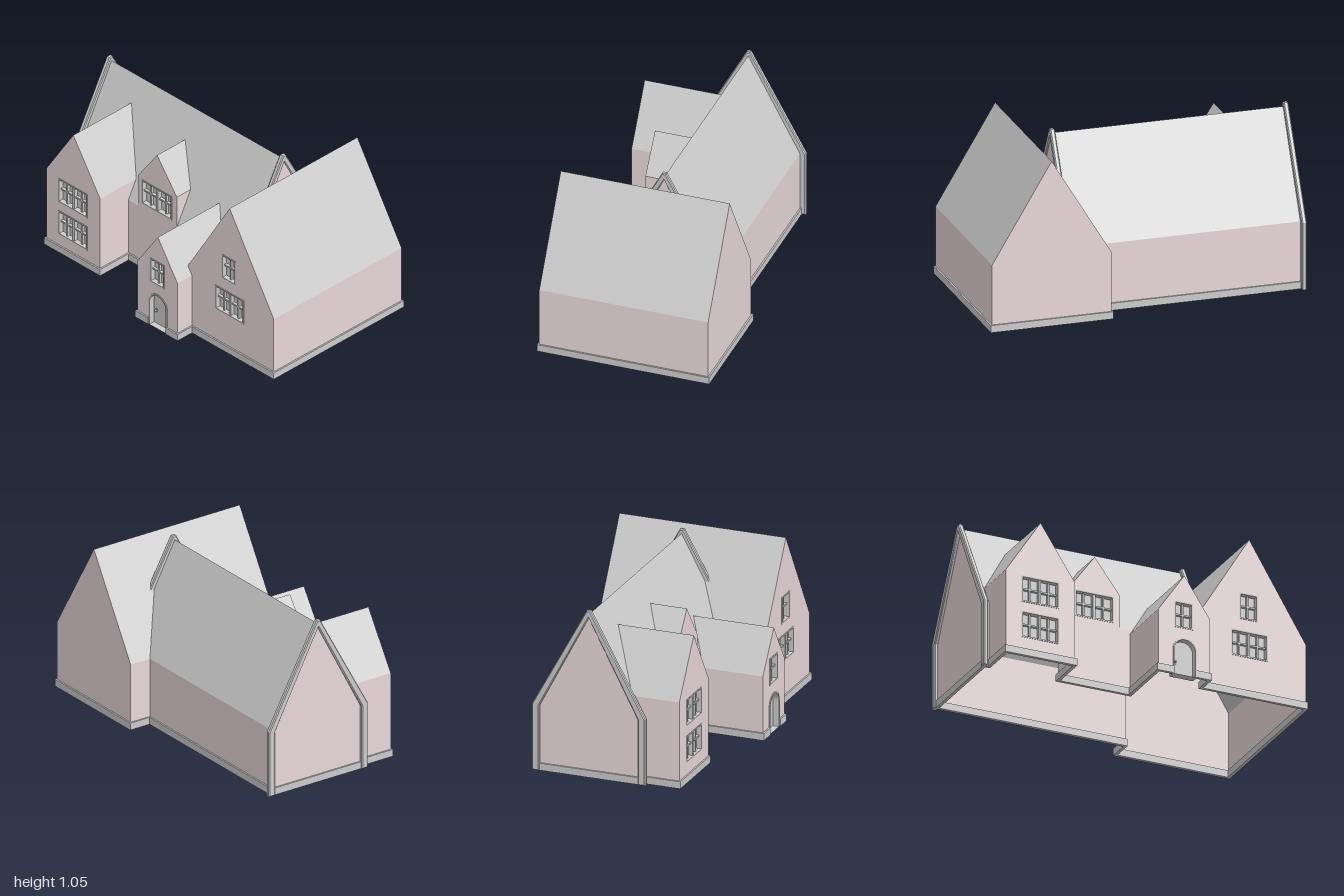
import * as THREE from 'three';

const wallMat = new THREE.MeshStandardMaterial({ color: 0xe8d8da, side: THREE.DoubleSide, flatShading: true });
const grey = new THREE.MeshStandardMaterial({ color: 0xcccccc, side: THREE.DoubleSide, flatShading: true });

// Main range: ridge along x; its roof gives z for any height
const EAVE = 0.42, RIDGE = 1.03, MID = -0.125;
const run = y => (RIDGE - y) * 0.325 / (RIDGE - EAVE);
const zFront = y => MID + run(y);
const zBack = y => MID - run(y);

export function createModel() {
  const house = new THREE.Group();
  house.name = 'house';

  const add = (name, geo, mat, parent = house) => {
    const m = new THREE.Mesh(geo, mat);
    m.name = name;
    parent.add(m);
    return m;
  };

  // Flat polygon through any coplanar 3D corners
  function face(name, pts, mat) {
    const v = pts.map(p => new THREE.Vector3(...p));
    const n = new THREE.Vector3();
    v.forEach((a, i) => n.add(a.clone().cross(v[(i + 1) % v.length])));
    const [ax, ay, az] = [Math.abs(n.x), Math.abs(n.y), Math.abs(n.z)];
    const flat = v.map(p => ax >= ay && ax >= az ? new THREE.Vector2(p.y, p.z)
      : ay >= az ? new THREE.Vector2(p.z, p.x) : new THREE.Vector2(p.x, p.y));
    const geo = new THREE.BufferGeometry().setFromPoints(v);
    geo.setIndex(THREE.ShapeUtils.triangulateShape(flat, []).flat());
    geo.computeVertexNormals();
    return add(name, geo, mat);
  }

  const poly = pts => new THREE.Shape(pts.map(p => new THREE.Vector2(...p)));
  const rect = (x0, y0, x1, y1) => [[x0, y0], [x1, y0], [x1, y1], [x0, y1]];

  // Wall facing the front, with openings cut out
  function frontWall(name, pts, z, holes = []) {
    const s = poly(pts);
    s.holes.push(...holes);
    add(name, new THREE.ShapeGeometry(s), wallMat).position.z = z;
  }

  function box(name, x0, y0, z0, x1, y1, z1, parent = house) {
    const g = new THREE.BoxGeometry(x1 - x0, y1 - y0, z1 - z0);
    g.translate((x0 + x1) / 2, (y0 + y1) / 2, (z0 + z1) / 2);
    return add(name, g, grey, parent);
  }

  // Casement window: frame, pane and cross bars; returns the wall opening
  function window_(x0, y0, x1, y1, z, lights) {
    const g = new THREE.Group();
    g.name = 'window';
    house.add(g);
    const t = 0.009, b = 0.005, w = (x1 - x0) / lights;
    const s = poly(rect(x0, y0, x1, y1));
    s.holes.push(poly(rect(x0 + t, y0 + t, x1 - t, y1 - t)));
    add('windowFrame', new THREE.ExtrudeGeometry(s, { depth: 0.038, bevelEnabled: false }), grey, g).position.z = z - 0.035;
    box('pane', x0 + t, y0 + t, z - 0.034, x1 - t, y1 - t, z - 0.03, g);
    const ym = y0 + (y1 - y0) * 0.53;
    for (let i = 0; i < lights; i++) {
      const l = x0 + i * w, c = l + w / 2;
      box('glazingBar', c - b, y0 + t, z - 0.03, c + b, y1 - t, z - 0.012, g);
      box('crossBar', l + t, ym - b, z - 0.03, l + w - t, ym + b, z - 0.012, g);
      if (i) box('mullion', l - 0.008, y0 + t, z - 0.03, l + 0.008, y1 - t, z - 0.003, g);
    }
    return poly(rect(x0, y0, x1, y1));
  }

  // Arched outline for the door
  function arch(cx, r, spring) {
    const s = new THREE.Shape();
    s.moveTo(cx - r, 0);
    s.lineTo(cx + r, 0);
    s.lineTo(cx + r, spring);
    s.absarc(cx, spring, r, 0, Math.PI, false);
    s.lineTo(cx - r, 0);
    return s;
  }

  // Main range walls
  const dormerWindow = window_(-0.39, 0.45, -0.135, 0.62, 0.2, 2);
  frontWall('mainFrontWall', [[-0.5, 0], [-0.015, 0], [-0.015, EAVE], [-0.095, EAVE], [-0.095, 0.635],
    [-0.26, 0.855], [-0.42, 0.635], [-0.42, EAVE], [-0.5, EAVE]], 0.2, [dormerWindow]);
  frontWall('mainFrontWallEnd', rect(-0.98, 0, -0.95, EAVE), 0.2);
  frontWall('mainBackWall', rect(-0.98, 0, 0.25, EAVE), -0.45);
  face('mainLeftGable', [[-0.98, 0, 0.2], [-0.98, EAVE, 0.2], [-0.98, RIDGE, MID],
    [-0.98, EAVE, -0.45], [-0.98, 0, -0.45]], wallMat);
  face('mainRightGable', [[0.47, 0.783, zFront(0.783)], [0.47, RIDGE, MID], [0.47, 0.783, zBack(0.783)]], wallMat);

  // Main roof, notched where the gables join it
  const frontOutline = [[-0.98, EAVE], [-0.95, EAVE], [-0.95, 0.54], [-0.725, 0.885], [-0.5, 0.54], [-0.5, EAVE],
    [-0.42, EAVE], [-0.42, 0.635], [-0.26, 0.855], [-0.095, 0.635], [-0.095, EAVE], [-0.016, EAVE], [0.14, 0.65],
    [0.27, 0.453], [0.47, 0.783], [0.47, RIDGE], [-0.98, RIDGE]];
  face('mainRoofFront', frontOutline.map(([x, y]) => [x, y, zFront(y)]), grey);
  face('mainRoofBack', [[-0.98, EAVE], [0.25, EAVE], [0.47, 0.783], [0.47, RIDGE], [-0.98, RIDGE]]
    .map(([x, y]) => [x, y, zBack(y)]), grey);

  // Cheek and roof slope on both sides of a gable that dies into the main roof
  function gableSides(name, x0, x1, xr, eave, ridge, z, base) {
    for (const x of [x0, x1]) {
      face(name + 'Side', [[x, base, z], [x, eave, z], [x, eave, zFront(eave)], [x, EAVE, 0.2],
        ...(base < EAVE ? [[x, base, 0.2]] : [])], wallMat);
      face(name + 'Roof', [[x, eave, z], [xr, ridge, z], [xr, ridge, zFront(ridge)], [x, eave, zFront(eave)]], grey);
    }
  }
  gableSides('leftGable', -0.95, -0.5, -0.725, 0.54, 0.885, 0.435, 0);
  gableSides('dormer', -0.42, -0.095, -0.26, 0.635, 0.855, 0.2, EAVE);
  frontWall('leftGableFront', [[-0.95, 0], [-0.5, 0], [-0.5, 0.54], [-0.725, 0.885], [-0.95, 0.54]], 0.435, [
    window_(-0.85, 0.35, -0.605, 0.52, 0.435, 2), window_(-0.85, 0.12, -0.605, 0.29, 0.435, 2)]);

  // Right wing
  frontWall('wingFrontGable', [[0.305, 0], [0.99, 0], [0.99, EAVE], [0.62, RIDGE], [0.27, 0.453], [0.305, 0.4]], 0.47, [
    window_(0.555, 0.505, 0.675, 0.675, 0.47, 1), window_(0.5, 0.26, 0.74, 0.43, 0.47, 2)]);
  frontWall('wingBackGable', [[0.25, 0], [0.99, 0], [0.99, EAVE], [0.62, RIDGE], [0.25, EAVE]], -0.59);
  face('wingRightWall', [[0.99, 0, -0.59], [0.99, 0, 0.47], [0.99, EAVE, 0.47], [0.99, EAVE, -0.59]], wallMat);
  face('wingLeftWall', [[0.25, 0, -0.59], [0.25, 0, -0.45], [0.25, EAVE, -0.45], [0.25, EAVE, -0.59]], wallMat);
  face('wingRoofRight', [[0.99, EAVE, -0.59], [0.99, EAVE, 0.47], [0.62, RIDGE, 0.47], [0.62, RIDGE, -0.59]], grey);
  face('wingRoofLeft', [[-0.59, EAVE], [-0.45, EAVE], [zBack(0.783), 0.783], [zFront(0.783), 0.783],
    [zFront(0.453), 0.453], [0.47, 0.453], [0.47, RIDGE], [-0.59, RIDGE]]
    .map(([z, y]) => [0.62 - 0.37 * (RIDGE - y) / (RIDGE - EAVE), y, z]), grey);

  // Porch
  const doorX = 0.1425;
  frontWall('porchFront', [[-0.03, 0], [0.305, 0], [0.305, 0.4], [0.14, 0.65], [-0.03, 0.4]], 0.59, [
    window_(0.075, 0.305, 0.195, 0.475, 0.59, 1), arch(doorX, 0.076, 0.163)]);
  face('porchLeftWall', [[-0.03, 0, 0.59], [-0.03, 0.4, 0.59], [-0.03, 0.4, 0.2], [-0.03, 0, 0.2]], wallMat);
  face('porchRightWall', [[0.305, 0, 0.59], [0.305, 0.4, 0.59], [0.305, 0.4, 0.47], [0.305, 0, 0.47]], wallMat);
  face('porchRoofLeft', [[-0.03, 0.4, 0.59], [0.14, 0.65, 0.59], [0.14, 0.65, zFront(0.65)],
    [-0.016, EAVE, 0.2], [-0.03, 0.4, 0.2]], grey);
  face('porchRoofRight', [[0.305, 0.4, 0.59], [0.14, 0.65, 0.59], [0.14, 0.65, zFront(0.65)],
    [0.27, 0.453, zFront(0.453)], [0.27, 0.453, 0.47], [0.305, 0.4, 0.47]], grey);

  // Arched door with frame and handle
  const frame = arch(doorX, 0.0775, 0.163);
  frame.holes.push(arch(doorX, 0.068, 0.163));
  add('doorFrame', new THREE.ExtrudeGeometry(frame, { depth: 0.055, bevelEnabled: false, curveSegments: 12 }), grey).position.z = 0.54;
  add('door', new THREE.ExtrudeGeometry(arch(doorX, 0.07, 0.163), { depth: 0.01, bevelEnabled: false }), grey).position.z = 0.545;
  box('handlePlate', 0.088, 0.08, 0.555, 0.1, 0.104, 0.559);
  const knob = add('doorKnob', new THREE.SphereGeometry(0.007, 10, 8), grey);
  knob.position.set(0.094, 0.092, 0.565);

  // Plinth following the walls, open at the door
  const plan = [[0.056, 0.59], [-0.03, 0.59], [-0.03, 0.2], [-0.5, 0.2], [-0.5, 0.435], [-0.95, 0.435], [-0.95, 0.2],
    [-0.98, 0.2], [-0.98, -0.45], [0.25, -0.45], [0.25, -0.59], [0.99, -0.59], [0.99, 0.47], [0.305, 0.47],
    [0.305, 0.59], [0.229, 0.59]];
  const e = 0.01;
  for (let i = 1; i < plan.length; i++) {
    const [a, b] = plan[i - 1], [c, d] = plan[i];
    box('plinth', Math.min(a, c) - e, 0, Math.min(b, d) - e, Math.max(a, c) + e, 0.045, Math.max(b, d) + e);
  }

  // Raised gable copings with chamfered edges, from height foot upward
  function coping(xRight, foot) {
    const zo = y => y < 0.42 ? 0.36 : 0.36 - (y - 0.42) * 0.548;
    const zi = y => y < 0.41 ? 0.315 : 0.315 - (y - 0.41) * 0.525;
    const half = [[zo(foot), foot], ...(foot < 0.4 ? [[0.36, 0.42]] : []), [0.012, 1.055]];
    const inner = [[zi(foot), foot], ...(foot < 0.4 ? [[0.315, 0.41]] : []), [0, 1.01]];
    const mirror = a => a.map(([z, y]) => [-z, y]);
    const pts = [...half, ...mirror(half).reverse(), ...mirror(inner), ...inner.slice(0, -1).reverse()];
    const geo = new THREE.ExtrudeGeometry(poly(pts.map(([z, y]) => [z + MID, y])),
      { depth: 0.018, bevelSize: 0.006, bevelThickness: 0.006, bevelOffset: -0.006, bevelSegments: 1 });
    geo.translate(0, 0, 0.006);
    geo.rotateY(-Math.PI / 2);
    add('gableCoping', geo, grey).position.x = xRight;
  }
  coping(-0.97, 0);
  coping(0.48, 0.73);

  return house;
}
